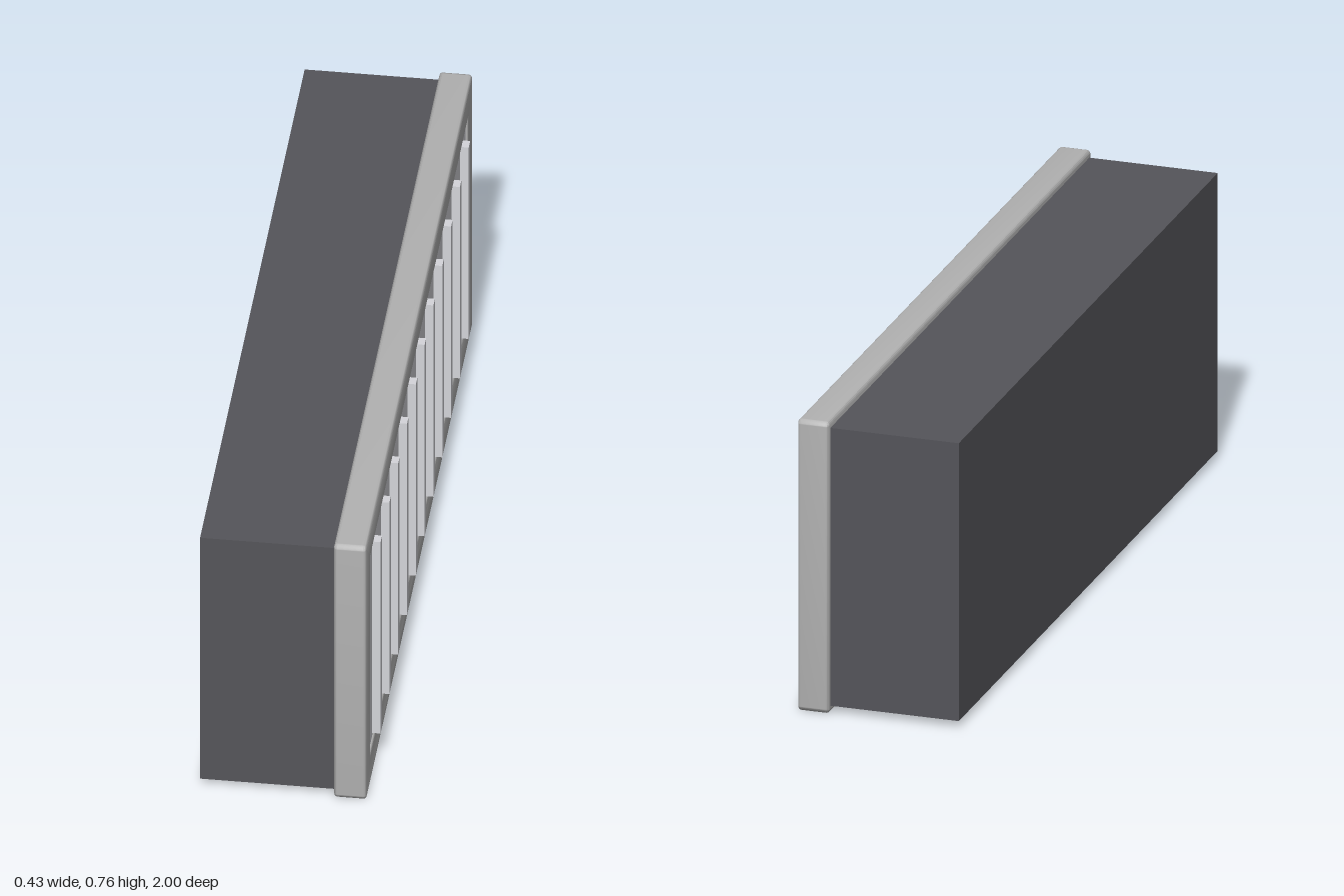
import * as THREE from 'three';
import { toCreasedNormals } from 'three/addons/utils/BufferGeometryUtils.js';

const HEIGHT = 0.76;
const MID_Y = HEIGHT / 2;

const makeMaterial = (color) => new THREE.MeshStandardMaterial({ color });

// Box given by its x range and its y and z sizes
function slab(name, x0, x1, h, d, material, z = 0) {
  const mesh = new THREE.Mesh(new THREE.BoxGeometry(x1 - x0, h, d), material);
  mesh.name = name;
  mesh.position.set((x0 + x1) / 2, MID_Y, z);
  return mesh;
}

// Rounded rectangle centred on the origin
function roundedRect(path, w, h, r) {
  const x = w / 2, y = h / 2;
  path.moveTo(-x + r, -y);
  path.lineTo(x - r, -y);
  path.absarc(x - r, -y + r, r, -Math.PI / 2, 0);
  path.lineTo(x, y - r);
  path.absarc(x - r, y - r, r, 0, Math.PI / 2);
  path.lineTo(-x + r, y);
  path.absarc(-x + r, y - r, r, Math.PI / 2, Math.PI);
  path.lineTo(-x, -y + r);
  path.absarc(-x + r, -y + r, r, Math.PI, Math.PI * 1.5);
  return path;
}

export function createModel() {
  const group = new THREE.Group();
  const dark = makeMaterial(0x55555a);
  const grey = makeMaterial(0xb2b2b2);
  const light = makeMaterial(0xd4d5da);

  // Housing behind the frame
  group.add(slab('housing', -0.213, 0.122, 0.725, 1.97, dark));

  // Frame with softened edges and a rectangular opening
  const bevel = 0.008;
  const outline = roundedRect(new THREE.Shape(), 2, HEIGHT, 0.012);
  const opening = new THREE.Path();
  const ow = 0.918, oh = 0.297;
  opening.moveTo(-ow, -oh);
  opening.lineTo(-ow, oh);
  opening.lineTo(ow, oh);
  opening.lineTo(ow, -oh);
  opening.closePath();
  outline.holes.push(opening);
  const frameGeometry = new THREE.ExtrudeGeometry(outline, {
    depth: 0.08 - 2 * bevel,
    bevelThickness: bevel,
    bevelSize: bevel,
    bevelOffset: -bevel,
    bevelSegments: 3,
    curveSegments: 4,
  });
  frameGeometry.rotateY(Math.PI / 2);
  const frame = new THREE.Mesh(toCreasedNormals(frameGeometry, 0.7), grey);
  frame.name = 'frame';
  frame.position.set(0.118 + bevel, MID_Y, 0);
  group.add(frame);

  // Panel set just behind the frame's face
  group.add(slab('panel', 0.13, 0.192, 0.6, 1.842, light));

  // Row of upright slats
  const slats = new THREE.Group();
  slats.name = 'slats';
  for (let i = -5; i <= 5; i++) {
    slats.add(slab('slat', 0.185, 0.213, 0.576, 0.028, light, i * 0.166));
  }
  group.add(slats);

  return group;
}
